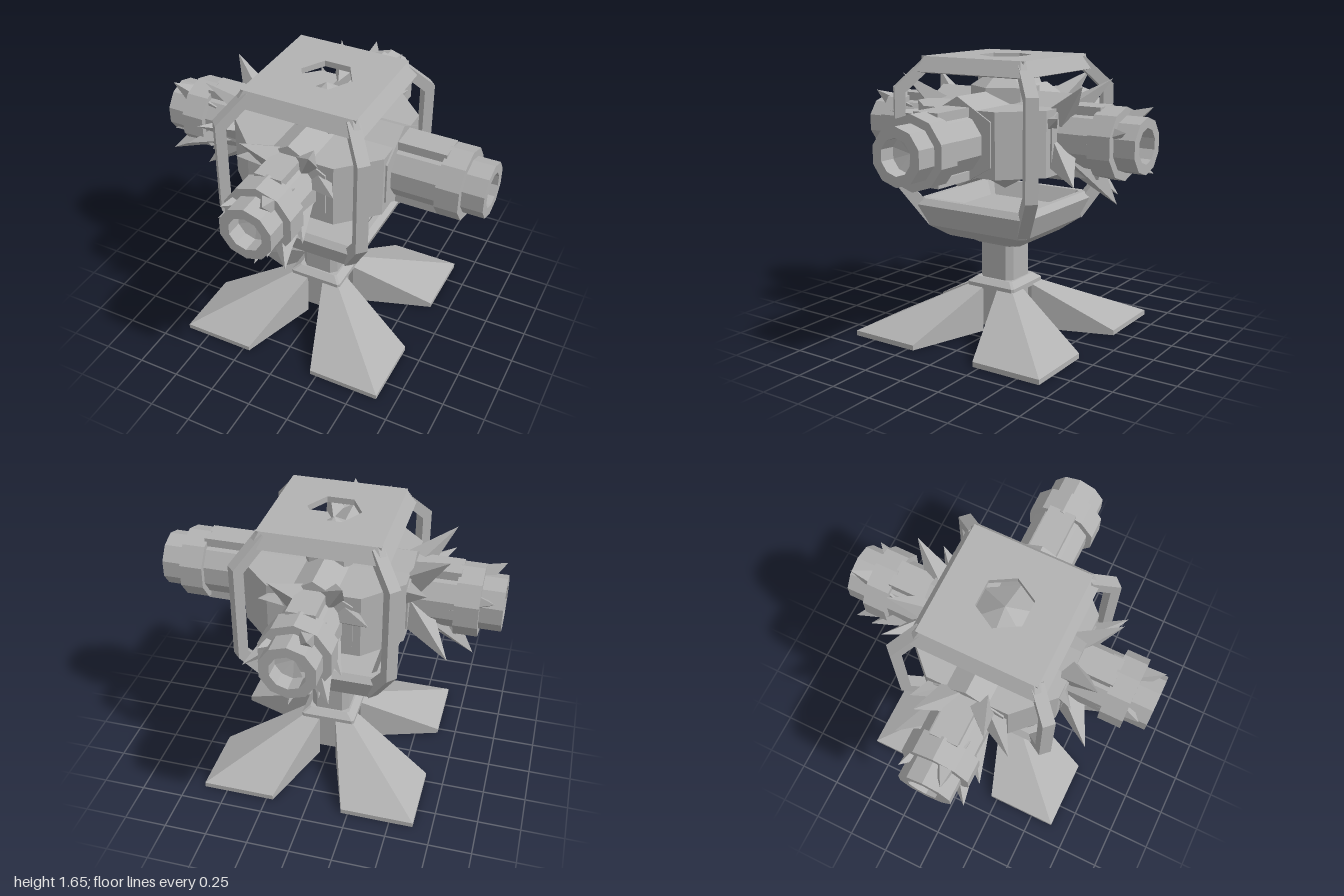
import * as THREE from 'three';

const grey = new THREE.MeshStandardMaterial({ color: 0xb2b2b2, flatShading: true, side: THREE.DoubleSide });
grey.name = 'plain grey';

function add(parent, name, geometry) {
  const g = geometry.index ? geometry.toNonIndexed() : geometry;
  g.computeVertexNormals();
  const mesh = new THREE.Mesh(g, grey);
  mesh.name = name;
  parent.add(mesh);
  return mesh;
}

function polys(faces) {
  const pos = [];
  for (const f of faces)
    for (let i = 1; i < f.length - 1; i++) pos.push(...f[0], ...f[i], ...f[i + 1]);
  const g = new THREE.BufferGeometry();
  g.setAttribute('position', new THREE.Float32BufferAttribute(pos, 3));
  return g;
}

// Loft of chamfered rectangles; each level is [y, halfX, halfZ, chamferX, chamferZ]
function stack(levels, capped = true) {
  const rings = levels.map(([y, x, z, c, d = c]) => [
    [x, y, -z + d], [x, y, z - d], [x - c, y, z], [-x + c, y, z],
    [-x, y, z - d], [-x, y, -z + d], [-x + c, y, -z], [x - c, y, -z],
  ]);
  const faces = [];
  for (let i = 0; i < rings.length - 1; i++)
    for (let j = 0; j < 8; j++) {
      const k = (j + 1) % 8;
      faces.push([rings[i][j], rings[i + 1][j], rings[i + 1][k], rings[i][k]]);
    }
  if (capped) faces.push(rings[0], [...rings[rings.length - 1]].reverse());
  return polys(faces);
}

// Cylinder along +z from z0 to z1
function tube(r0, r1, z0, z1, sides, turn = 0) {
  return new THREE.CylinderGeometry(r1, r0, z1 - z0, sides)
    .rotateY(turn).rotateX(Math.PI / 2).translate(0, 0, (z0 + z1) / 2);
}

function footGeometry() {
  const A0 = [0.64, 0, 0.21], B0 = [0.64, 0, 0.64], C0 = [0.21, 0, 0.64];
  const A1 = [0.64, 0.03, 0.21], B1 = [0.64, 0.03, 0.64], C1 = [0.21, 0.03, 0.64];
  const P = [0.16, 0.28, 0.05], Q = [0.16, 0.28, 0.16], R = [0.05, 0.28, 0.16];
  const P0 = [0.16, 0, 0.05], R0 = [0.05, 0, 0.16];
  return polys([
    [A0, A1, B1, B0], [B0, B1, C1, C0], [A1, P, Q, B1], [B1, Q, R, C1],
    [A0, P0, P, A1], [C0, C1, R, R0], [P0, R0, R, P],
  ]);
}

// Bent bar lying in the diagonal plane of the cage
function postGeometry(k) {
  const pts = [[0.46, 0.67], [0.64, 0.91], [0.64, 1.48], [0.46, 1.645],
    [0.43, 1.59], [0.58, 1.45], [0.58, 0.94], [0.43, 0.76]];
  const shape = new THREE.Shape(pts.map(p => new THREE.Vector2(...p)));
  return new THREE.ExtrudeGeometry(shape, { depth: 0.07, bevelEnabled: false })
    .translate(0, 0, -0.035).rotateY(-Math.PI / 4 - k * Math.PI / 2).scale(0.985, 1, 1.03);
}

// Gun barrel pointing along +z, centred on its own axis
function barrel() {
  const g = new THREE.Group();
  add(g, 'barrelBody', tube(0.17, 0.17, 0.32, 0.67, 10));
  for (const s of [1, -1])
    add(g, 'barrelRib', new THREE.BoxGeometry(0.16, 0.05, 0.34).translate(0, s * 0.175, 0.5));
  add(g, 'barrelRing', tube(0.205, 0.205, 0.655, 0.79, 10));
  const profile = [[0.158, 0.78], [0.158, 0.915], [0.1, 0.915], [0.1, 0.82], [0, 0.795]]
    .map(p => new THREE.Vector2(...p));
  add(g, 'muzzle', new THREE.LatheGeometry(profile, 10).rotateX(Math.PI / 2));
  return g;
}

// Crystal shards around a barrel: tip positions [side, up, forward]
const SHARDS = [
  [0.2, 0.33, 0.6], [-0.19, 0.32, 0.62], [-0.05, -0.33, 0.77], [0.235, -0.1, 0.74],
  [-0.34, -0.2, 0.66], [-0.28, 0.15, 0.52], [0.335, 0.12, 0.59], [0.1, -0.31, 0.7],
  [0.1, 0.2, 0.9], [0.12, -0.11, 0.91], [0.2, -0.19, 0.87], [-0.17, 0.09, 0.87],
];
function shards() {
  const g = new THREE.Group();
  g.name = 'shardCluster';
  SHARDS.forEach(([x, y, z], i) => {
    const tip = new THREE.Vector3(x, y, z);
    const base = new THREE.Vector3(x * 0.3, y * 0.3, z - 0.24);
    const dir = tip.clone().sub(base);
    const len = dir.length();
    const cone = new THREE.ConeGeometry(0.1 + 0.012 * (i % 3), len, 4)
      .rotateY(i * 0.7).translate(0, len / 2, 0);
    const mesh = add(g, 'shard', cone);
    mesh.position.copy(base);
    mesh.quaternion.setFromUnitVectors(new THREE.Vector3(0, 1, 0), dir.normalize());
  });
  return g;
}

export function createModel() {
  const model = new THREE.Group();
  model.name = 'turret';

  // Pedestal
  for (let k = 0; k < 4; k++) add(model, 'foot', footGeometry().rotateY(k * Math.PI / 2));
  add(model, 'stem', stack([[0.02, 0.115, 0.115, 0.035], [0.57, 0.115, 0.115, 0.035]]));
  add(model, 'lowerCollar', stack([
    [0.27, 0.165, 0.165, 0.012], [0.3, 0.165, 0.165, 0.012], [0.33, 0.125, 0.125, 0.012]]));
  add(model, 'upperCollar', stack([
    [0.545, 0.12, 0.12, 0.012], [0.572, 0.155, 0.155, 0.012], [0.6, 0.155, 0.155, 0.012]]));

  // Cage: bowl below, roof above, four corner posts
  add(model, 'bowl', stack([
    [0.595, 0.245, 0.25, 0.02], [0.667, 0.34, 0.345, 0.03], [0.795, 0.39, 0.395, 0.04],
    [0.83, 0.36, 0.365, 0.04], [0.83, 0.33, 0.335, 0.03], [0.74, 0.28, 0.28, 0.02]]));
  add(model, 'roofRim', stack([
    [1.63, 0.31, 0.315, 0.02], [1.56, 0.345, 0.35, 0.03], [1.57, 0.39, 0.39, 0.03],
    [1.655, 0.34, 0.345, 0.02]], false));
  const roof = new THREE.Shape([[-0.34, -0.345], [0.34, -0.345], [0.34, 0.345], [-0.34, 0.345]]
    .map(p => new THREE.Vector2(...p)));
  const hole = [];
  for (let i = 0; i < 6; i++)
    hole.push(new THREE.Vector2(Math.cos(i * Math.PI / 3), Math.sin(i * Math.PI / 3)).multiplyScalar(0.155));
  roof.holes.push(new THREE.Path(hole));
  add(model, 'roofPlate', new THREE.ExtrudeGeometry(roof, { depth: 0.035, bevelEnabled: false })
    .rotateX(-Math.PI / 2).translate(0, 1.62, 0));
  for (let k = 0; k < 4; k++) add(model, 'cornerPost', postGeometry(k));

  // Core inside the cage
  add(model, 'core', stack([
    [1.02, 0.46, 0.44, 0.2], [1.39, 0.46, 0.44, 0.2]]));
  add(model, 'crossHub', tube(0.25, 0.25, -0.45, 0.45, 6).translate(0, 1.21, 0));
  add(model, 'sideHub', tube(0.25, 0.25, -0.47, 0.47, 6).rotateY(Math.PI / 2).translate(0, 1.21, 0));
  const turn = Math.PI / 6;
  add(model, 'coreTop', new THREE.CylinderGeometry(0.2, 0.2, 0.12, 6).rotateY(turn).translate(0, 1.42, 0));
  add(model, 'topPoint', new THREE.ConeGeometry(0.2, 0.13, 6).rotateY(turn).translate(0, 1.545, 0));
  add(model, 'bottomPoint', new THREE.ConeGeometry(0.22, 0.12, 6).rotateX(Math.PI).rotateY(turn).translate(0, 0.925, 0));

  // Four guns; all but the left one are overgrown with shards
  const guns = [['frontGun', 0, 0, true], ['leftGun', 1, 0.08, false],
    ['backGun', 2, 0, true], ['rightGun', 3, 0.06, true]];
  for (const [name, quarter, shift, grown] of guns) {
    const gun = barrel();
    gun.name = name;
    if (grown) gun.add(shards());
    gun.rotation.y = quarter * Math.PI / 2;
    gun.position.set(Math.sin(gun.rotation.y) * shift, 1.205, Math.cos(gun.rotation.y) * shift);
    model.add(gun);
  }
  return model;
}
